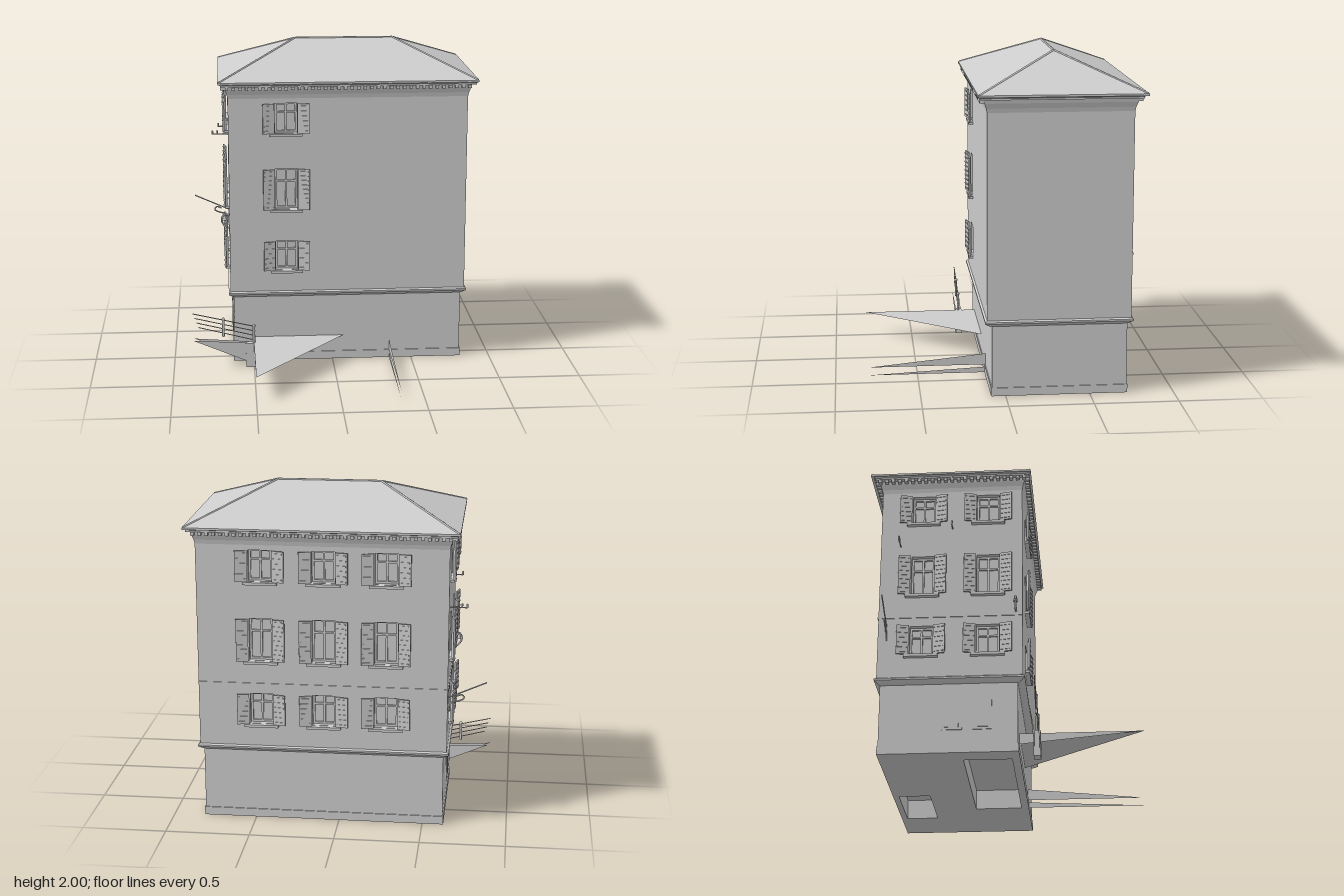
import * as THREE from 'three';

const stone = new THREE.MeshStandardMaterial({ color: 0xcccccc, side: THREE.DoubleSide });
stone.name = 'pale grey plaster';

// Body extents
const X0 = -0.64, X1 = 0.83, Z0 = -0.74, Z1 = 0.11;
const CX = (X0 + X1) / 2, CZ = (Z0 + Z1) / 2;

function add(parent, geometry, name, x = 0, y = 0, z = 0) {
  const mesh = new THREE.Mesh(geometry, stone);
  mesh.name = name;
  mesh.position.set(x, y, z);
  parent.add(mesh);
  return mesh;
}
const box = (parent, name, w, h, d, x, y, z) => add(parent, new THREE.BoxGeometry(w, h, d), name, x, y, z);

// Stack of rectangles [x0, x1, z0, z1, y] from bottom to top, with hard edges
function loft(rings) {
  const pos = [];
  const pts = rings.map(([a, b, c, d, y]) => [[a, y, d], [b, y, d], [b, y, c], [a, y, c]]);
  const quad = (a, b, c, d) => pos.push(...a, ...b, ...c, ...a, ...c, ...d);
  for (let r = 0; r + 1 < pts.length; r++) {
    for (let i = 0; i < 4; i++) {
      const j = (i + 1) % 4;
      quad(pts[r][i], pts[r][j], pts[r + 1][j], pts[r + 1][i]);
    }
  }
  const b = pts[0], t = pts[pts.length - 1];
  quad(b[3], b[2], b[1], b[0]);
  quad(t[0], t[1], t[2], t[3]);
  const g = new THREE.BufferGeometry();
  g.setAttribute('position', new THREE.Float32BufferAttribute(pos, 3));
  g.computeVertexNormals();
  return g;
}
// Moulding around the body from [outward offset, height] pairs
const moulding = (profile) => loft(profile.map(([o, y]) => [X0 - o, X1 + o, Z0 - o, Z1 + o, y]));

function rod(parent, name, a, b, r, sides = 6) {
  const p = new THREE.Vector3(...a), q = new THREE.Vector3(...b);
  const mesh = add(parent, new THREE.CylinderGeometry(r, r, p.distanceTo(q), sides), name);
  mesh.position.copy(p).add(q).multiplyScalar(0.5);
  mesh.quaternion.setFromUnitVectors(new THREE.Vector3(0, 1, 0), q.sub(p).normalize());
}
function triangle(parent, name, a, b, c) {
  const g = new THREE.BufferGeometry();
  g.setAttribute('position', new THREE.Float32BufferAttribute([...a, ...b, ...c], 3));
  g.computeVertexNormals();
  add(parent, g, name);
}
function rect(path, x0, y0, x1, y1) {
  path.moveTo(x0, y0);
  path.lineTo(x1, y0);
  path.lineTo(x1, y1);
  path.lineTo(x0, y1);
  path.closePath();
  return path;
}

const ROWS = [[0.605, 0.79], [0.995, 1.25], [1.475, 1.66]];
const HALF = 0.068;

// One window: recessed pane, cross frame, sill and two louvred shutters
function makeWindow(parent, u, y0, y1) {
  const g = new THREE.Group();
  g.name = 'window';
  g.position.set(u, (y0 + y1) / 2, 0);
  parent.add(g);
  const h = y1 - y0;
  box(g, 'pane', 2 * HALF, h, 0.006, 0, 0, -0.045);
  for (const s of [-1, 1]) {
    box(g, 'frameSide', 0.012, h, 0.014, s * (HALF - 0.006), 0, -0.036);
    box(g, 'frameRail', 2 * HALF, 0.012, 0.014, 0, s * (h / 2 - 0.006), -0.036);
  }
  box(g, 'mullion', 0.012, h, 0.014, 0, 0, -0.036);
  box(g, 'transom', 2 * HALF, 0.01, 0.012, 0, h * 0.18, -0.036);
  box(g, 'sill', 0.2, 0.016, 0.03, 0, -h / 2 - 0.01, 0.012);
  for (const s of [-1, 1]) {
    const shutter = new THREE.Group();
    shutter.name = 'shutter';
    shutter.position.set(s * (HALF + 0.003), 0, 0.014);
    shutter.rotation.y = -s * 0.2;
    g.add(shutter);
    box(shutter, 'shutterPanel', 0.072, h, 0.01, s * 0.037, 0, 0);
    const n = Math.round(h / 0.03);
    for (let i = 0; i < n; i++) {
      box(shutter, 'louvre', 0.056, 0.008, 0.006, s * 0.037, -h / 2 + (i + 0.5) * h / n, 0.006);
    }
  }
}

// Wall with window openings; local +z points outwards
function facade(parent, name, width, columns, x, z, turn, dentils) {
  const g = new THREE.Group();
  g.name = name;
  g.position.set(x, 0, z);
  g.rotation.y = turn;
  parent.add(g);
  const shape = rect(new THREE.Shape(), -width / 2, 0.45, width / 2, 1.76);
  for (const u of columns) {
    for (const [y0, y1] of ROWS) {
      shape.holes.push(rect(new THREE.Path(), u - HALF, y0, u + HALF, y1));
      makeWindow(g, u, y0, y1);
    }
  }
  add(g, new THREE.ExtrudeGeometry(shape, { depth: 0.05, bevelEnabled: false }), 'wall', 0, 0, -0.05);
  if (dentils) {
    const n = Math.round((width + 0.06) / 0.04);
    for (let i = 0; i < n; i++) {
      box(g, 'dentil', 0.02, 0.018, 0.028, (i + 0.5 - n / 2) * 0.04, 1.757, 0.03);
    }
  }
  return g;
}

export function createModel() {
  const model = new THREE.Group();
  model.name = 'townHouse';

  // Ground floor with an open cellar underneath
  const plan = rect(new THREE.Shape(), -0.62, -0.08, 0.81, 0.72);
  plan.holes.push(rect(new THREE.Path(), -0.5, -0.04, 0.36, 0.24));
  plan.holes.push(rect(new THREE.Path(), 0.1, 0.5, 0.52, 0.69));
  add(model, new THREE.ExtrudeGeometry(plan, { depth: 0.12, bevelEnabled: false }), 'cellarWalls').rotation.x = -Math.PI / 2;
  add(model, loft([[-0.62, 0.81, -0.72, 0.08, 0.12], [-0.62, 0.81, -0.72, 0.08, 0.44]]), 'groundFloor');
  for (const z of [-0.723, 0.083]) box(model, 'plinth', 1.436, 0.05, 0.006, 0.095, 0.025, z);
  for (const x of [-0.623, 0.813]) box(model, 'plinth', 0.006, 0.05, 0.81, x, 0.025, -0.32);
  for (const [z, w] of [[-0.3, 0.12], [-0.125, 0.11]]) {
    box(model, 'cellarWindow', 0.008, 0.18, w, -0.622, 0.23, z);
    box(model, 'cellarWindowPane', 0.008, 0.15, w - 0.04, -0.626, 0.23, z);
  }

  // Band between ground floor and upper floors
  add(model, moulding([[-0.02, 0.425], [-0.005, 0.435], [0.012, 0.448], [0.012, 0.458], [0, 0.466]]), 'bandCourse');

  // Upper walls
  const w = X1 - X0, d = Z1 - Z0;
  facade(model, 'frontWall', w, [-0.287 - CX], CX, Z1, 0, true);
  const back = facade(model, 'backWall', w, [0.455, 0.085, -0.28].map((x) => CX - x), CX, Z0, Math.PI, true);
  const left = facade(model, 'sideWallWithWindows', d, [-0.485, -0.095].map((z) => z - CZ), X0, CZ, -Math.PI / 2, true);
  facade(model, 'blankSideWall', d, [], X1, CZ, Math.PI / 2, false);
  box(back, 'stringCourse', w, 0.012, 0.006, 0, 0.85, 0.002);
  box(left, 'stringCourse', d, 0.012, 0.006, 0, 0.85, 0.002);

  // Flared cornice and hipped roof
  add(model, moulding([[0, 1.69], [0.005, 1.715], [0.016, 1.745], [0.02, 1.766], [0.045, 1.768],
    [0.045, 1.778], [0.056, 1.786]]), 'cornice');
  add(model, loft([[-0.7, 0.89, -0.81, 0.165, 1.785], [-0.7, 0.89, -0.81, 0.165, 1.797],
    [-0.21, 0.405, -0.323, -0.323, 1.995]]), 'hippedRoof');
  const ridge = [[-0.21, 1.994, -0.323], [0.405, 1.994, -0.323]];
  rod(model, 'ridgeTiles', ridge[0], ridge[1], 0.007);
  for (const z of [-0.803, 0.158]) {
    rod(model, 'hipTiles', ridge[0], [-0.693, 1.797, z], 0.007);
    rod(model, 'hipTiles', ridge[1], [0.883, 1.797, z], 0.007);
  }

  // Terrace slab and pointed ground edges in front
  triangle(model, 'terraceSlab', [-0.5, 0.155, 0.8], [0.07, 0.155, 0.08], [-0.5, 0.155, 0.08]);
  triangle(model, 'terraceSide', [-0.5, 0.155, 0.8], [-0.5, 0.155, 0.08], [-0.5, 0.09, 0.08]);
  triangle(model, 'groundEdge', [0.36, 0.05, 0.8], [0.36, 0.05, 0.08], [0.36, 0.12, 0.08]);
  triangle(model, 'groundEdge', [0.36, 0, 0.8], [0.36, 0, 0.08], [0.36, 0.035, 0.08]);

  // Ramp wall with railing at the corner
  box(model, 'rampPier', 0.07, 0.155, 0.04, -0.515, 0.0775, 0.185);
  triangle(model, 'rampWall', [-0.88, 0.18, 0.2], [-0.55, 0.04, 0.2], [-0.5, 0.155, 0.2]);
  triangle(model, 'rampWall', [-0.87, 0.18, 0.16], [-0.55, 0.04, 0.17], [-0.5, 0.155, 0.17]);
  for (const [x, y] of [[-0.69, 0.2], [-0.5, 0.155]]) {
    rod(model, 'railingPost', [x, y, 0.188], [x, y + 0.11, 0.188], 0.008, 8);
    add(model, new THREE.SphereGeometry(0.01, 8, 6), 'postKnob', x, y + 0.113, 0.188);
  }
  for (let i = 0; i < 4; i++) {
    const y = 0.03 * i;
    rod(model, 'railing', [-0.88 + 0.012 * (3 - i), 0.262 + y, 0.188], [-0.49, 0.17 + y, 0.188], 0.003, 4);
  }

  // Flagpole with scroll bracket
  rod(model, 'flagpole', [-0.865, 0.89, -0.69], [-0.64, 0.79, -0.69], 0.004);
  const scroll = new THREE.CatmullRomCurve3([[-0.64, 0.7], [-0.66, 0.76], [-0.7, 0.77], [-0.735, 0.79], [-0.72, 0.81], [-0.69, 0.8]]
    .map(([x, y]) => new THREE.Vector3(x, y, -0.69)));
  add(model, new THREE.TubeGeometry(scroll, 20, 0.005, 5), 'scrollBracket');

  // Wall lamp
  const arm = new THREE.CatmullRomCurve3([[-0.64, 0.87], [-0.665, 0.88], [-0.688, 0.92], [-0.675, 0.955], [-0.64, 0.955]]
    .map(([x, y]) => new THREE.Vector3(x, y, 0.07)));
  add(model, new THREE.TubeGeometry(arm, 16, 0.006, 5), 'lampArm');
  add(model, new THREE.CylinderGeometry(0.008, 0.014, 0.03, 8), 'lampShade', -0.67, 0.935, 0.07);

  // Small insulator brackets
  for (const [y, z, reach] of [[1.32, -0.62, 0.1], [1.435, -0.31, 0.06]]) {
    rod(model, 'wireBracket', [X0, y, z], [X0 - reach, y, z], 0.004);
    for (const t of reach > 0.08 ? [0.7, 1] : [1]) {
      add(model, new THREE.CylinderGeometry(0.006, 0.006, 0.024, 6), 'insulator', X0 - reach * t, y + 0.01, z);
    }
  }
  return model;
}
